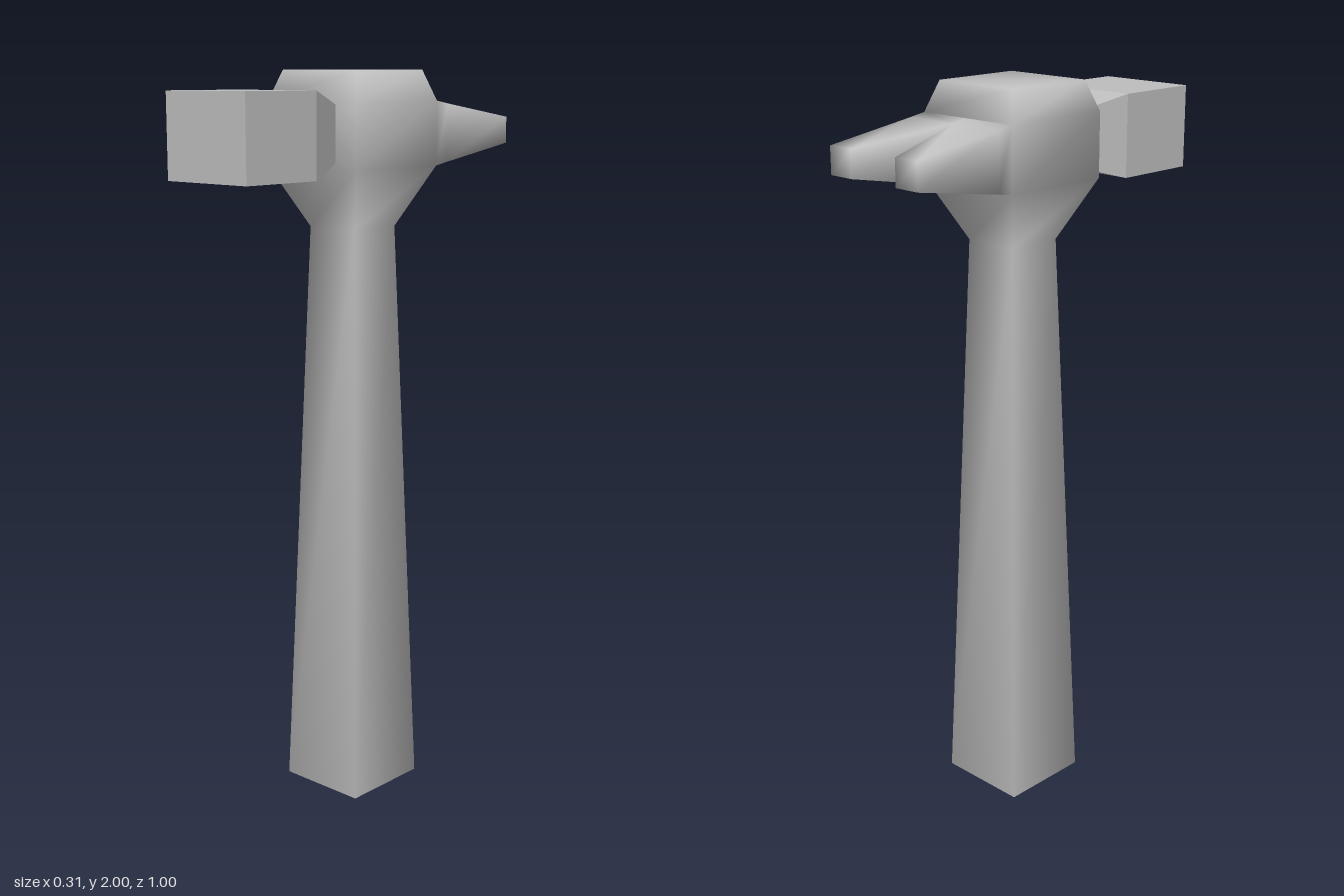
import * as THREE from 'three';
import { mergeVertices } from 'three/addons/utils/BufferGeometryUtils.js';

const steel = new THREE.MeshStandardMaterial({ color: 0xbebebe });
steel.name = 'grey';

// Collects quads per part; the parts share smooth normals where they meet.
function makeQuads() {
  const points = [];
  const parts = {};
  return {
    add(part, a, b, c, d, flip) {
      const corners = flip ? [d, c, b, a] : [a, b, c, d];
      const ids = corners.map((p) => {
        let i = points.findIndex((q) => q.distanceTo(p) < 1e-5);
        if (i < 0) i = points.push(p) - 1;
        return i;
      });
      (parts[part] ??= []).push(ids[0], ids[1], ids[2], ids[0], ids[2], ids[3]);
    },
    build(group) {
      const whole = new THREE.BufferGeometry().setFromPoints(points);
      whole.setIndex(Object.values(parts).flat());
      whole.computeVertexNormals();
      for (const [name, index] of Object.entries(parts)) {
        const geometry = new THREE.BufferGeometry();
        geometry.setAttribute('position', whole.attributes.position);
        geometry.setAttribute('normal', whole.attributes.normal);
        geometry.setIndex(index);
        const mesh = new THREE.Mesh(mergeVertices(geometry), steel);
        mesh.name = name;
        group.add(mesh);
      }
    },
  };
}

const V = (x, y, z) => new THREE.Vector3(x, y, z);

export function createModel() {
  const group = new THREE.Group();
  group.name = 'hammer';
  const quads = makeQuads();

  // Handle and head block: rectangular rings [y, half width, half depth]
  const midZ = -0.03;
  const rings = [
    [0, 0.13, 0.13],
    [1.59, 0.08, 0.08],
    [1.75, 0.157, 0.16],
    [1.92, 0.157, 0.16],
    [2, 0.13, 0.13],
  ].map(([y, w, d]) => [
    V(-w, y, midZ + d), V(w, y, midZ + d), V(w, y, midZ - d), V(-w, y, midZ - d),
  ]);
  for (let r = 0; r < 4; r++) {
    for (let s = 0; s < 4; s++) {
      if (r === 2 && s === 2) continue; // the claw grows out of this side
      const t = (s + 1) % 4;
      quads.add(r === 0 ? 'handle' : 'headBlock',
        rings[r][s], rings[r][t], rings[r + 1][t], rings[r + 1][s]);
    }
  }
  quads.add('handle', ...rings[0], true);
  quads.add('headBlock', ...rings[4]);

  // Split claw: sections [z, inner x, bottom y, top y], mirrored
  const sections = [
    [-0.19, 0, 1.75, 1.92],
    [-0.237, 0, 1.758, 1.912],
    [-0.5, 0.08, 1.8, 1.872],
  ];
  for (const side of [1, -1]) {
    const loops = sections.map(([z, inner, low, high]) => [
      V(side * inner, low, z), V(side * 0.157, low, z),
      V(side * 0.157, high, z), V(side * inner, high, z),
    ]);
    const flip = side < 0;
    for (let r = 0; r < 2; r++) {
      for (let s = 0; s < 4; s++) {
        if (r === 0 && s === 3) continue; // prongs are joined before the notch
        const t = (s + 1) % 4;
        quads.add('claw', loops[r][s], loops[r + 1][s], loops[r + 1][t], loops[r][t], flip);
      }
    }
    quads.add('claw', ...loops[2], !flip);
  }
  quads.build(group);

  // Striking face: a box whose rear end tapers into the head
  const box = new THREE.BoxGeometry(0.28, 0.22, 0.38, 1, 1, 2);
  const pos = box.attributes.position;
  for (let i = 0; i < pos.count; i++) {
    const z = pos.getZ(i);
    const neck = z < -0.1;
    pos.setXYZ(i,
      pos.getX(i) * (neck ? 0.61 : 1),
      1.84 + pos.getY(i) * (neck ? 0.66 : 1),
      neck ? 0.128 : z > 0.1 ? 0.5 : 0.258);
  }
  const face = box.toNonIndexed();
  face.computeVertexNormals();
  const poll = new THREE.Mesh(face, steel);
  poll.name = 'strikingFace';
  group.add(poll);

  return group;
}
